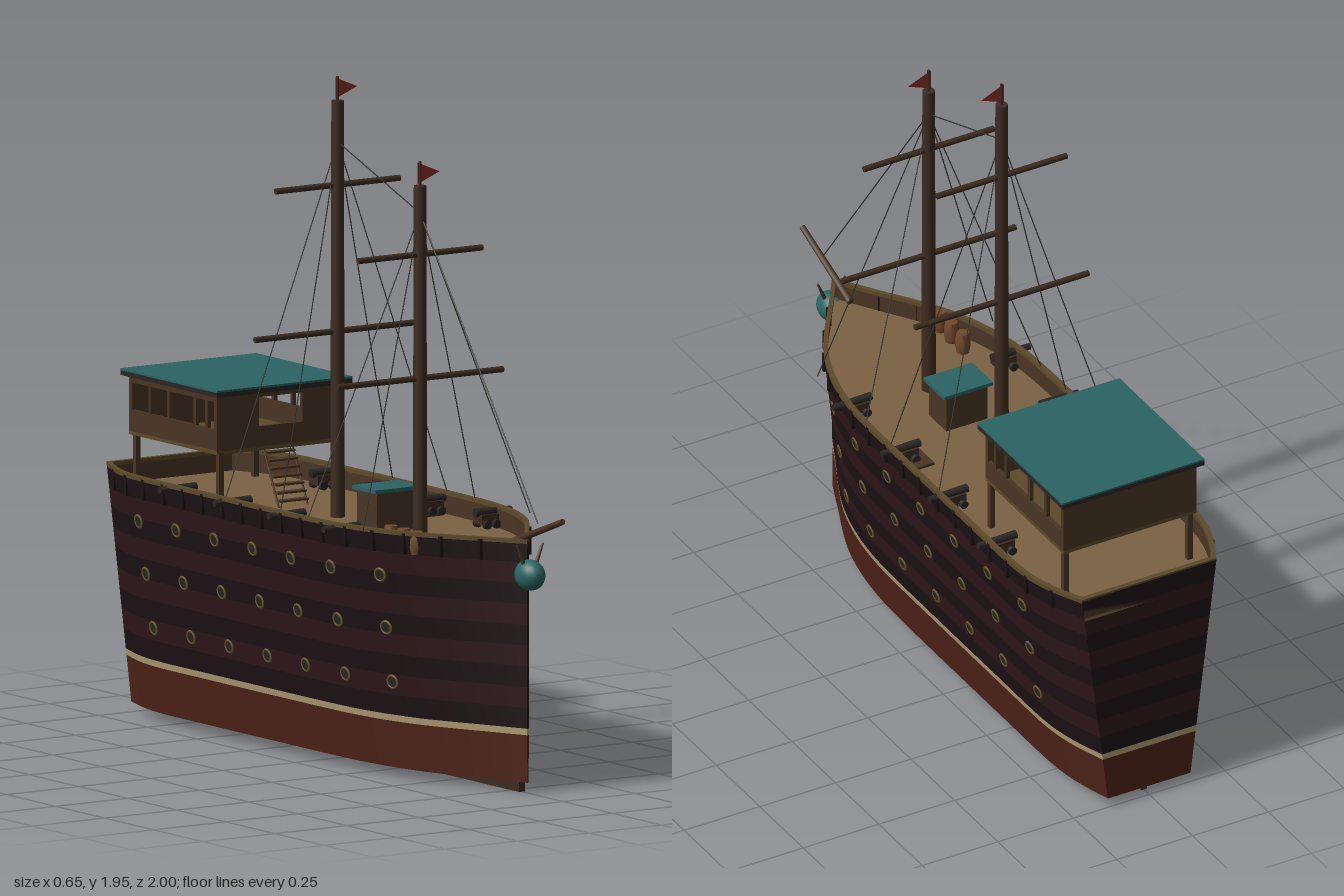
import * as THREE from 'three';
import { toCreasedNormals } from 'three/addons/utils/BufferGeometryUtils.js';

const V = (x, y, z) => new THREE.Vector3(x, y, z);
const mat = (color, side = THREE.FrontSide) => new THREE.MeshStandardMaterial({ color, side });
const M = {
  dark: mat(0x1c1214, THREE.DoubleSide), red: mat(0x2e1719, THREE.DoubleSide),
  bottom: mat(0x4f2419, THREE.DoubleSide), cream: mat(0xb09c74, THREE.DoubleSide),
  deck: mat(0x7a6243), wood: mat(0x4a3524), mast: mat(0x3d2c20), rail: mat(0x5c4a2a),
  iron: mat(0x2a2725), brass: mat(0x6b5a2a), teal: mat(0x2b6464), rope: mat(0x3a3632),
  barrel: mat(0x70492c), flag: mat(0x8c3028, THREE.DoubleSide),
};

const BOTTOM = 0.03, TOP = 0.73, DECK = 0.67;

// Half plan of the hull at rail height, bow to stern: x is half width, y is z
const plan = new THREE.SplineCurve([
  [0.004, 0.82], [0.085, 0.7], [0.155, 0.6], [0.215, 0.5], [0.262, 0.38], [0.29, 0.25], [0.3, 0.1],
  [0.302, -0.2], [0.302, -0.5], [0.3, -0.75], [0.275, -0.88], [0.222, -1],
].map(([x, z]) => new THREE.Vector2(x, z))).getPoints(66);

const flare = y => 0.615 + 0.385 * (y - BOTTOM) / (TOP - BOTTOM);

function halfWidth(z, y) {
  const i = Math.max(1, plan.findIndex(p => p.y <= z));
  const a = plan[i - 1], b = plan[i];
  return THREE.MathUtils.lerp(a.x, b.x, (z - a.y) / (b.y - a.y)) * flare(y);
}

// Closed outline at height y, as (x, z) pairs, optionally drawn inward
function outline(y, inset = 0) {
  const half = plan.map(p => new THREE.Vector2(
    Math.max(0.001, p.x * flare(y) - inset), THREE.MathUtils.clamp(p.y, -1 + inset, 0.82 - inset * 1.5)));
  return [...half, ...half.slice().reverse().map(p => new THREE.Vector2(-p.x, p.y))];
}

function hullBand(y0, y1) {
  const lo = outline(y0), hi = outline(y1), pos = [];
  lo.forEach((p, i) => {
    const j = (i + 1) % lo.length;
    const a = [p.x, y0, p.y], b = [hi[i].x, y1, hi[i].y];
    const c = [lo[j].x, y0, lo[j].y], d = [hi[j].x, y1, hi[j].y];
    pos.push(...a, ...c, ...b, ...b, ...c, ...d);
  });
  const g = new THREE.BufferGeometry();
  g.setAttribute('position', new THREE.Float32BufferAttribute(pos, 3));
  return toCreasedNormals(g, 0.5);
}

// Flat slab following the hull outline, with an optional inner opening
function slab(y, depth, widthAt, wall) {
  const flip = pts => pts.map(p => new THREE.Vector2(p.x, -p.y));
  const s = new THREE.Shape(flip(outline(widthAt)));
  if (wall) s.holes.push(new THREE.Path(flip(outline(widthAt, wall))));
  return new THREE.ExtrudeGeometry(s, { depth, bevelEnabled: false }).rotateX(-Math.PI / 2).translate(0, y, 0);
}

export function createModel() {
  const ship = new THREE.Group();
  ship.name = 'sailingShip';
  const add = (name, geo, material, parent = ship) => {
    const m = new THREE.Mesh(geo, material);
    m.name = name;
    parent.add(m);
    return m;
  };
  const group = name => {
    const g = new THREE.Group();
    g.name = name;
    ship.add(g);
    return g;
  };
  // Box given by its extents
  const box = (name, x0, x1, y0, y1, z0, z1, material, parent) => add(name,
    new THREE.BoxGeometry(x1 - x0, y1 - y0, z1 - z0)
      .translate((x0 + x1) / 2, (y0 + y1) / 2, (z0 + z1) / 2), material, parent);
  // Round bar between two points
  const bar = (name, a, b, r, material, parent, sides = 8, r2 = r) => {
    const m = add(name, new THREE.CylinderGeometry(r2, r, a.distanceTo(b), sides), material, parent);
    m.position.lerpVectors(a, b, 0.5);
    m.quaternion.setFromUnitVectors(V(0, 1, 0), b.clone().sub(a).normalize());
    return m;
  };

  // Hull: painted bottom, waterline and alternating planks
  const hull = group('hull');
  add('bottomPaint', hullBand(BOTTOM, 0.168), M.bottom, hull);
  add('waterline', hullBand(0.168, 0.187), M.cream, hull);
  const planks = 9, step = (TOP - 0.187) / planks;
  for (let i = 0; i < planks; i++)
    add('plank', hullBand(0.187 + i * step, 0.187 + (i + 1) * step), i % 2 ? M.red : M.dark, hull);
  add('hullFloor', slab(BOTTOM, 0.005, BOTTOM), M.wood, hull);
  add('deck', slab(DECK - 0.01, 0.01, DECK - 0.01), M.deck, hull);
  add('innerBulwark', slab(DECK, TOP - DECK, DECK, 0.006), M.wood, hull);
  add('rail', slab(TOP - 0.006, 0.012, TOP, 0.016), M.rail, hull);
  box('keel', -0.01, 0.01, 0, BOTTOM, -0.97, 0.79, M.mast, hull);

  // Bulwark ribs and portholes
  for (const s of [-1, 1]) {
    for (let z = -0.9; z < 0.7; z += 0.1) {
      const w = halfWidth(z, 0.7);
      box('rib', s * w - 0.006, s * w + 0.006, DECK, TOP, z - 0.006, z + 0.006, M.dark, hull);
    }
    for (const y of [0.285, 0.445, 0.6]) for (let i = 0; i < 7; i++) {
      const z = 0.41 - i * 0.194, w = halfWidth(z, y), e = 0.02;
      const n = V(1, -(halfWidth(z, y + e) - halfWidth(z, y - e)) / (2 * e),
        -(halfWidth(z + e, y) - halfWidth(z - e, y)) / (2 * e)).normalize();
      n.x *= s;
      const port = group('porthole');
      add('portholeRing', new THREE.TorusGeometry(0.018, 0.004, 6, 16), M.brass, port);
      add('portholeGlass', new THREE.CircleGeometry(0.018, 16).translate(0, 0, 0.002), M.iron, port);
      port.position.set(s * w, y, z);
      port.quaternion.setFromUnitVectors(V(0, 0, 1), n);
    }
  }

  // Masts with yards, pennants and shrouds
  const masts = [
    { name: 'foreMast', z: 0.27, top: 1.69, yards: [[1.49, 0.215], [1.13, 0.287]], rig: 1.61 },
    { name: 'mainMast', z: -0.15, top: 1.88, yards: [[1.635, 0.215], [1.21, 0.287]], rig: 1.76 },
  ];
  for (const { name, z, top, yards, rig } of masts) {
    const g = group(name);
    bar('mastPole', V(0, DECK, z), V(0, top, z), 0.021, M.mast, g, 12, 0.018);
    bar('flagPole', V(0, top, z), V(0, top + 0.07, z), 0.004, M.mast, g, 6);
    for (const [y, w] of yards) bar('yard', V(-w, y, z), V(w, y, z), 0.009, M.mast, g);
    const tri = new THREE.Shape([[-0.008, 0.005], [0.068, 0.035], [-0.008, 0.067]].map(p => new THREE.Vector2(...p)));
    add('pennant', new THREE.ShapeGeometry(tri).translate(0, top, z), M.flag, g);
    for (const s of [-1, 1]) for (const dz of [-0.145, 0.135])
      bar('shroud', V(0, rig, z), V(s * 0.29, TOP, z + dz), 0.0018, M.rope, g, 5);
  }
  bar('mastStay', V(0, 1.61, 0.27), V(0, 1.76, -0.15), 0.002, M.rope, ship, 5);
  bar('foreStay', V(0, 1.61, 0.27), V(0, 0.79, 0.87), 0.002, M.rope, ship, 5);

  // Bowsprit and rounded figurehead with horns
  bar('bowsprit', V(0, 0.712, 0.72), V(0, 0.812, 0.997), 0.011, M.wood, ship, 8, 0.009);
  add('figurehead', new THREE.SphereGeometry(1, 20, 14), M.teal).scale.set(0.04, 0.045, 0.054);
  ship.getObjectByName('figurehead').position.set(0, 0.635, 0.83);
  for (const s of [-1, 1])
    bar('figureheadHorn', V(s * 0.018, 0.66, 0.83), V(s * 0.045, 0.725, 0.83), 0.007, M.wood, ship, 6, 0.003);

  // Stern cabin on legs, open windows on the front and sides
  const cabin = group('sternCabin');
  for (const s of [-1, 1]) {
    for (const z of [-0.448, -0.872])
      box('cabinLeg', s * 0.205 - 0.008, s * 0.205 + 0.008, DECK, 0.835, z - 0.008, z + 0.008, M.wood, cabin);
    const x0 = s * 0.214 - 0.006, x1 = s * 0.214 + 0.006;
    box('sideWall', x0, x1, 0.84, 0.902, -0.888, -0.442, M.wood, cabin);
    box('sideLintel', x0, x1, 0.982, 1, -0.888, -0.442, M.wood, cabin);
    for (const z of [-0.449, -0.495, -0.555, -0.69, -0.785, -0.88])
      box('windowPost', x0, x1, 0.9, 0.985, z - 0.006, z + 0.006, M.wood, cabin);
    box('frontPanel', Math.min(s * 0.075, s * 0.22), Math.max(s * 0.075, s * 0.22),
      0.84, 1, -0.452, -0.44, M.wood, cabin);
  }
  box('cabinFloor', -0.22, 0.22, 0.83, 0.842, -0.89, -0.44, M.rail, cabin);
  box('frontSill', -0.075, 0.075, 0.84, 0.9, -0.452, -0.44, M.wood, cabin);
  box('frontLintel', -0.075, 0.075, 0.985, 1, -0.452, -0.44, M.wood, cabin);
  box('backWall', -0.22, 0.22, 0.84, 1, -0.89, -0.878, M.wood, cabin);
  box('roofEdge', -0.235, 0.235, 1, 1.014, -0.91, -0.42, M.iron, cabin);
  box('roof', -0.235, 0.235, 1.014, 1.02, -0.91, -0.42, M.teal, cabin);
  box('helm', -0.02, 0.02, 0.84, 0.915, -0.75, -0.735, M.iron, cabin);

  // Steps up to the cabin
  const stairs = group('stairs');
  for (let i = 0; i < 7; i++) {
    const y = 0.685 + i * 0.022, z = -0.38 - i * 0.0115;
    box('step', -0.05, 0.05, y, y + 0.006, z - 0.012, z + 0.012, M.wood, stairs);
  }
  for (const s of [-1, 1]) bar('stringer', V(s * 0.05, DECK, -0.375), V(s * 0.05, 0.835, -0.455), 0.003, M.wood, stairs, 6);

  // Deck housing and flat hatch
  box('deckHouse', -0.068, 0.068, DECK, 0.785, 0.05, 0.15, M.wood);
  box('deckHouseLid', -0.08, 0.08, 0.785, 0.796, 0.04, 0.16, M.teal);
  box('deckHatch', 0.185, 0.26, DECK, DECK + 0.008, -0.085, 0, M.wood);

  // Guns along both sides
  for (const s of [-1, 1]) for (const z of [-0.58, -0.3, -0.025, 0.255]) {
    const gun = group('gun');
    bar('gunBarrel', V(0.2, 0.718, 0), V(0.325, 0.718, 0), 0.013, M.iron, gun, 10, 0.01);
    box('gunCarriage', 0.212, 0.272, 0.683, 0.712, -0.018, 0.018, M.mast, gun);
    for (const x of [0.226, 0.258]) for (const dz of [-0.025, 0.025])
      bar('gunWheel', V(x, 0.684, dz - 0.006), V(x, 0.684, dz + 0.006), 0.013, M.iron, gun, 10);
    gun.position.z = z;
    if (s < 0) {
      gun.rotation.y = Math.PI;
    }
  }

  // Barrels near the bow
  const stave = [[0, 0], [0.018, 0], [0.022, 0.02], [0.022, 0.045], [0.018, 0.066], [0, 0.066]]
    .map(p => new THREE.Vector2(...p));
  for (const z of [0.39, 0.455, 0.52])
    add('barrel', toCreasedNormals(new THREE.LatheGeometry(stave, 12), 0.6), M.barrel).position.set(-0.182, DECK, z);

  return ship;
}
